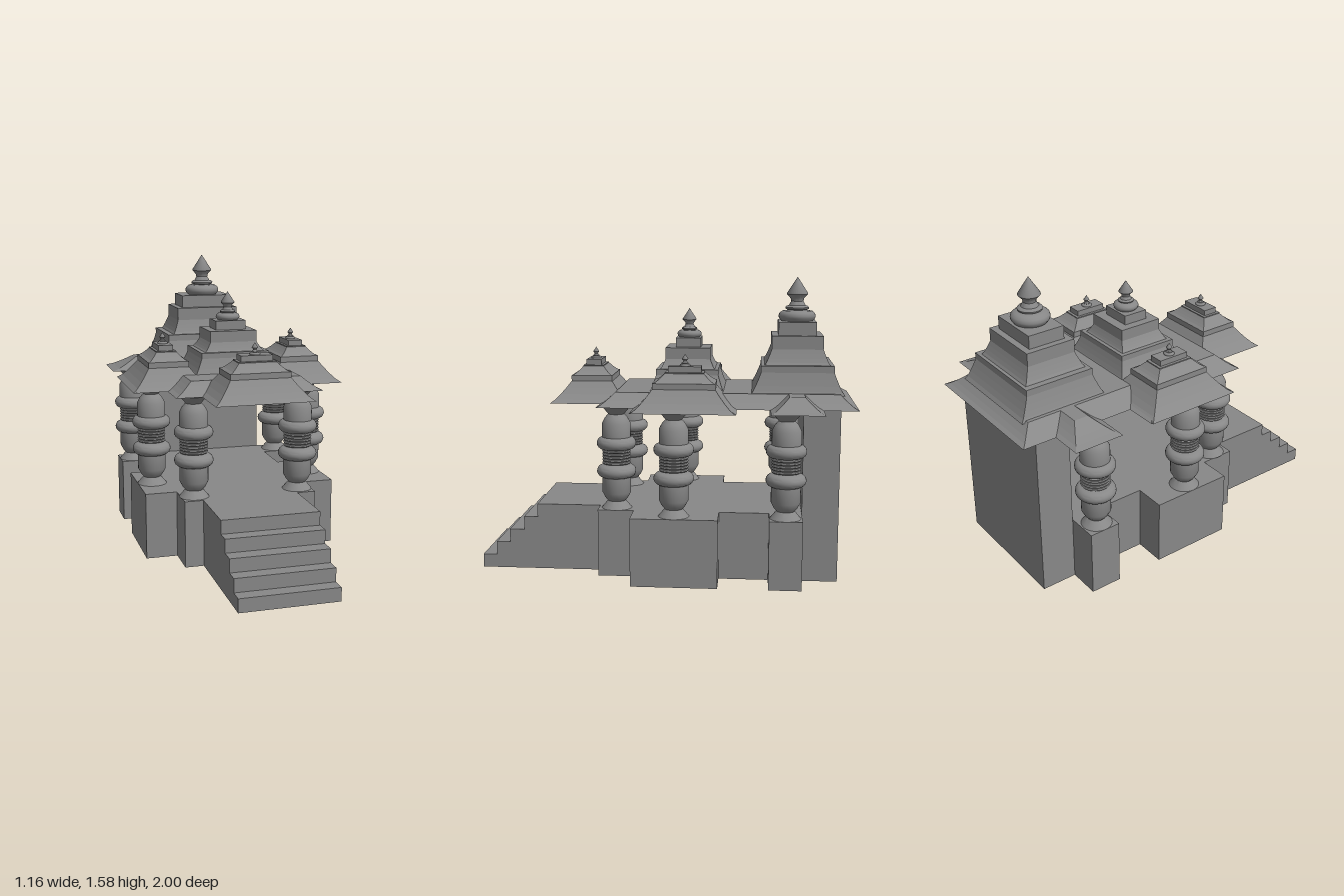
import * as THREE from 'three';
import { toCreasedNormals } from 'three/addons/utils/BufferGeometryUtils.js';

const BASE = 0.36, EAVE = 0.91, DECK = 0.98;

export function createModel() {
  const root = new THREE.Group();
  root.name = 'pavilion';
  const stone = new THREE.MeshStandardMaterial({ color: 0x888888 });
  stone.name = 'grey stone';

  function add(name, geometry, x = 0, y = 0, z = 0, scale = 1) {
    const mesh = new THREE.Mesh(geometry, stone);
    mesh.name = name;
    mesh.position.set(x, y, z);
    mesh.scale.setScalar(scale);
    root.add(mesh);
    return mesh;
  }

  function block(name, w, y0, y1, z0, z1) {
    add(name, new THREE.BoxGeometry(w, y1 - y0, z1 - z0), 0, (y0 + y1) / 2, (z0 + z1) / 2);
  }

  // Concave sweep between two rectangular sections [halfX, halfZ, y]
  function flare(a, b, steps = 4) {
    return Array.from({ length: steps + 1 }, (_, i) => {
      const t = i / steps;
      return [a[0] + (b[0] - a[0]) * t, a[1] + (b[1] - a[1]) * t, a[2] + (b[2] - a[2]) * t ** 1.3];
    });
  }

  // Closed stack of rectangular sections, bottom to top
  function tiers(sections) {
    const pos = [];
    const corners = ([hx, hz, y]) => [[-hx, y, hz], [hx, y, hz], [hx, y, -hz], [-hx, y, -hz]];
    const quad = (a, b, c, d) => pos.push(...a, ...b, ...c, ...a, ...c, ...d);
    const rings = sections.map(corners);
    for (let i = 0; i + 1 < rings.length; i++) {
      for (let k = 0; k < 4; k++) {
        const n = (k + 1) % 4;
        quad(rings[i][k], rings[i][n], rings[i + 1][n], rings[i + 1][k]);
      }
    }
    quad(...rings[rings.length - 1]);
    quad(...[...rings[0]].reverse());
    const g = new THREE.BufferGeometry();
    g.setAttribute('position', new THREE.Float32BufferAttribute(pos, 3));
    g.computeVertexNormals();
    return g;
  }

  function lathe(points, segments = 32) {
    const g = new THREE.LatheGeometry(points.map(([r, y]) => new THREE.Vector2(r, y)), segments);
    return toCreasedNormals(g.toNonIndexed(), 0.6);
  }

  // Half-round moulding for a lathe profile
  function bead(r, y, bulge, halfHeight, n) {
    return Array.from({ length: n + 1 }, (_, i) => {
      const a = -Math.PI / 2 + (Math.PI * i) / n;
      return [r + bulge * Math.cos(a), y + halfHeight * Math.sin(a)];
    });
  }

  // Stepped-plan platform
  const half = [[0.26, 0.62], [0.26, 0.35], [0.36, 0.35], [0.36, 0.16], [0.53, 0.16], [0.53, -0.29],
    [0.36, -0.29], [0.36, -0.55], [0.53, -0.55], [0.53, -0.72], [0.36, -0.72], [0.36, -0.91]];
  const plan = [...half, ...half.map(([x, z]) => [-x, z]).reverse()];
  const platform = new THREE.ExtrudeGeometry(
    new THREE.Shape(plan.map(([x, z]) => new THREE.Vector2(x, -z))), { depth: BASE, bevelEnabled: false });
  platform.rotateX(-Math.PI / 2);
  add('platform', platform);

  // Entrance stairs
  const treads = [1, 0.925, 0.85, 0.77, 0.695, 0.62];
  for (let i = 0; i < 5; i++) block('step', 0.52, 0, (BASE * (i + 1)) / 5, treads[i + 1], treads[i]);

  // Solid rear wall
  block('rearWall', 0.72, BASE, EAVE, -0.91, -0.72);

  // Turned pillars with two large rings and fine ridges between
  const ridges = [];
  for (let i = 0; i < 5; i++) ridges.push(...bead(0.062, 0.605 + i * 0.0155, 0.014, 0.0077, 4));
  const pillar = lathe([
    [0, 0.36], [0.08, 0.36], [0.072, 0.37], [0.047, 0.4], [0.06, 0.415], [0.076, 0.445], [0.076, 0.527],
    ...bead(0.07, 0.56, 0.034, 0.033, 10), ...ridges, ...bead(0.07, 0.71, 0.034, 0.033, 10),
    [0.076, 0.743], [0.076, 0.815], [0.06, 0.845], [0.042, 0.865], [0.075, 0.905], [0.075, EAVE], [0, EAVE],
  ]);
  for (const side of [-1, 1]) {
    for (const [x, z] of [[0.288, 0.257], [0.45, -0.06], [0.45, -0.633]]) add('pillar', pillar, side * x, 0, z);
  }

  // Main roof deck with sloping eaves, and rear side eaves
  add('mainRoof', tiers(flare([0.4, 0.675, EAVE], [0.3, 0.585, DECK])), 0, 0, -0.325);
  add('rearSideEaves', tiers(flare([0.575, 0.135, EAVE], [0.42, 0.04, DECK])), 0, 0, -0.685);
  add('middleSideEaves', tiers(flare([0.575, 0.267, EAVE], [0.47, 0.18, DECK])), 0, 0, -0.112);

  // Rear tower
  add('rearTower', tiers([
    ...flare([0.285, 0.245, DECK - 0.01], [0.25, 0.19, 1.085]), [0.25, 0.19, 1.12],
    ...flare([0.215, 0.172, 1.12], [0.18, 0.135, 1.2]), [0.18, 0.135, 1.27],
    [0.145, 0.1, 1.27], [0.145, 0.1, 1.34],
  ]), 0, 0, -0.69);

  // Middle tower
  add('middleTower', tiers([
    ...flare([0.235, 0.2, DECK - 0.01], [0.19, 0.165, 1.06]), [0.19, 0.165, 1.09],
    ...flare([0.165, 0.145, 1.09], [0.13, 0.12, 1.14]), [0.13, 0.12, 1.2],
    [0.085, 0.067, 1.2], [0.085, 0.067, 1.25],
  ]), 0, 0, -0.11);

  // Small roofs over the porch and both side bays
  const smallRoof = tiers([
    ...flare([0.262, 0.212, EAVE], [0.16, 0.11, 1.02]), [0.16, 0.11, 1.05],
    ...flare([0.155, 0.105, 1.05], [0.1, 0.055, 1.095]), [0.1, 0.055, 1.1],
    [0.085, 0.04, 1.1], [0.085, 0.04, 1.13],
  ]);
  add('porchRoof', smallRoof, 0, 0, 0.405);
  for (const side of [-1, 1]) add('sideRoof', smallRoof, side * 0.37, 0, -0.112).rotation.y = Math.PI / 2;

  // Domed finials, scaled to each roof
  const finial = lathe([
    [0, 0], [0.085, 0], [0.097, 0.015], [0.1, 0.027], [0.095, 0.042], [0.08, 0.054], [0.05, 0.058],
    [0.062, 0.064], [0.064, 0.072], [0.056, 0.08], [0.045, 0.083], [0.033, 0.105], [0.036, 0.12],
    [0.057, 0.142], [0.057, 0.147], [0, 0.235],
  ]);
  add('rearFinial', finial, 0, 1.34, -0.69);
  add('middleFinial', finial, 0, 1.25, -0.11, 0.66);
  add('porchFinial', finial, 0, 1.125, 0.405, 0.28);
  for (const side of [-1, 1]) add('sideFinial', finial, side * 0.37, 1.125, -0.112, 0.28);

  return root;
}
